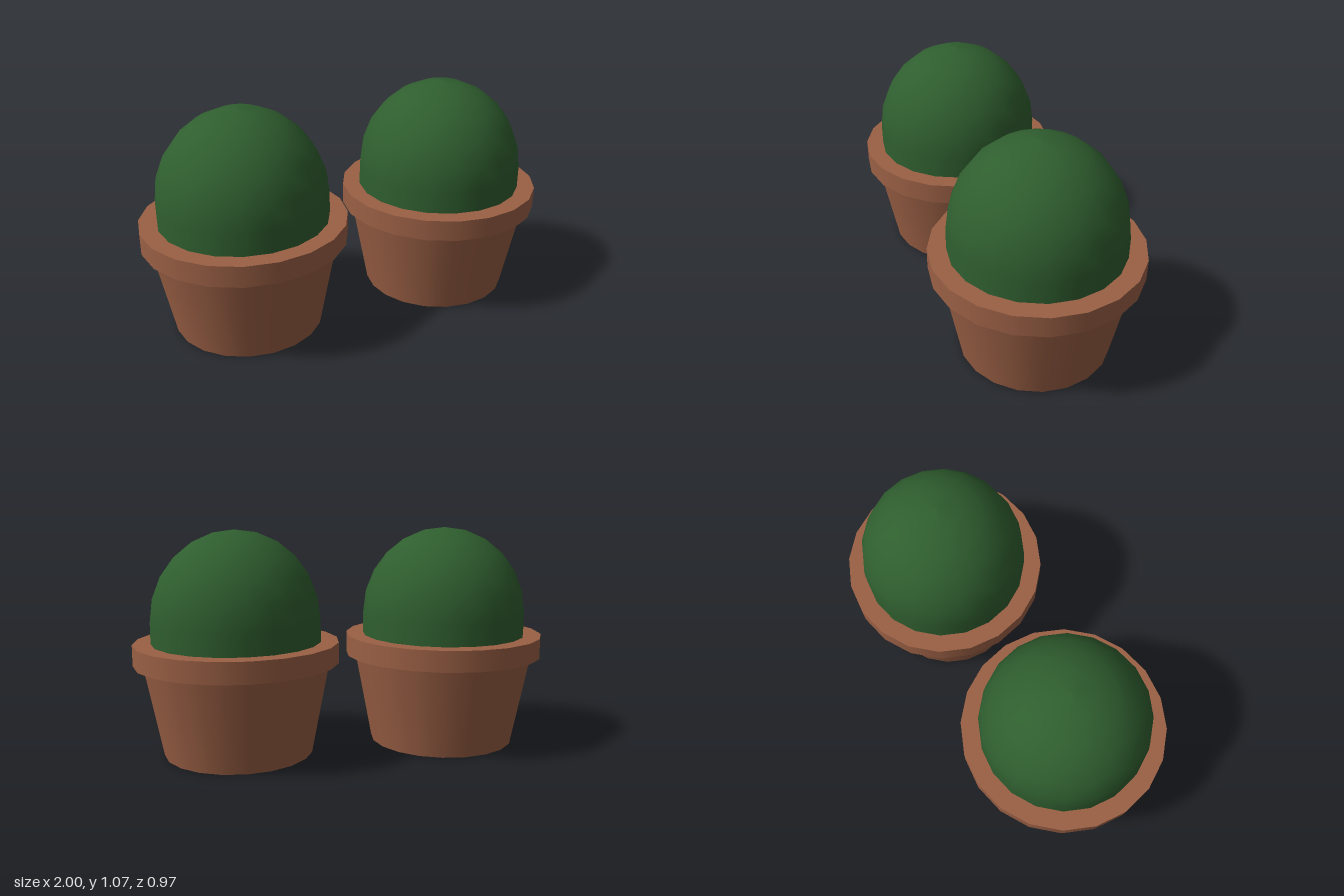
import * as THREE from 'three';

const SIDES = 20;

export function createModel() {
  const clay = new THREE.MeshStandardMaterial({ color: 0x9b6045, side: THREE.DoubleSide });
  const green = new THREE.MeshStandardMaterial({ color: 0x2f5e2f, side: THREE.DoubleSide });

  // Surface of revolution from [radius, height] pairs
  const turned = (name, points, material) => {
    const profile = points.map(([r, y]) => new THREE.Vector2(r, y));
    const mesh = new THREE.Mesh(new THREE.LatheGeometry(profile, SIDES), material);
    mesh.name = name;
    return mesh;
  };

  // Slightly stretched dome on a short straight skirt
  const dome = [[0.4, 0.44]];
  for (let i = 6; i >= 0; i--) {
    const a = (i * Math.PI) / 12;
    dome.push([0.4 * Math.sin(a), 0.64 + 0.425 * Math.cos(a)]);
  }

  const model = new THREE.Group();
  model.name = 'pottedCacti';
  for (const [name, x] of [['rightPlant', -0.515], ['leftPlant', 0.515]]) {
    const plant = new THREE.Group();
    plant.name = name;
    plant.position.x = x;
    plant.add(
      // Separate bands keep the pot's edges crisp
      turned('potWall', [[0.355, 0], [0.44, 0.44]], clay),
      turned('rimUnderside', [[0.44, 0.44], [0.485, 0.44]], clay),
      turned('rimSide', [[0.485, 0.44], [0.485, 0.54]], clay),
      turned('rimTop', [[0.485, 0.54], [0.4, 0.54]], clay),
      // Inner lining, open at the bottom
      turned('potLining', [[0.4, 0.54], [0.27, 0.016]], clay),
      turned('cactus', dome, green)
    );
    model.add(plant);
  }
  return model;
}
